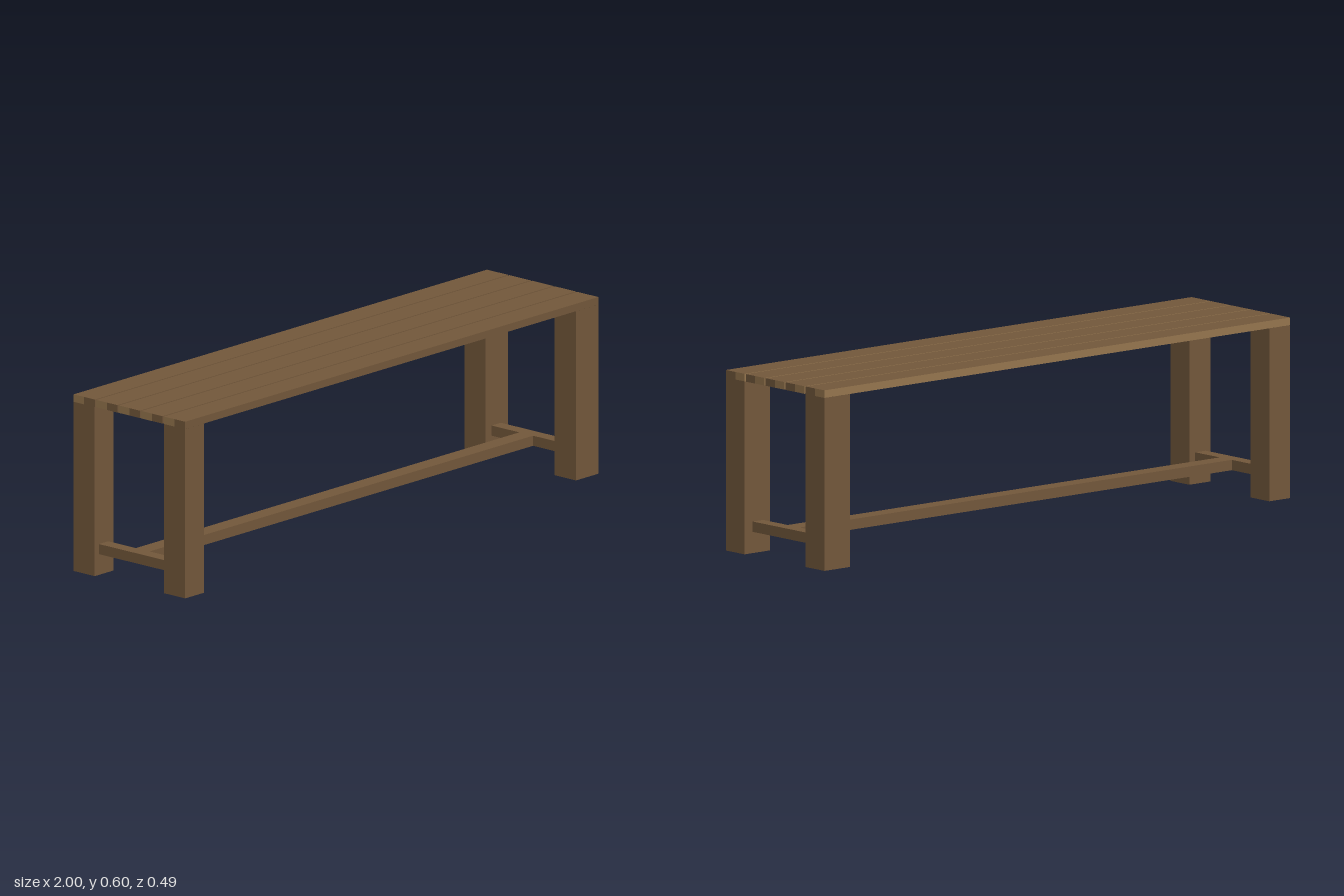
import * as THREE from 'three';

export function createModel() {
  const bench = new THREE.Group();
  bench.name = 'bench';
  const wood = new THREE.MeshStandardMaterial({ color: 0x73583b, side: THREE.DoubleSide });
  wood.name = 'brown wood';
  const paleWood = new THREE.MeshStandardMaterial({ color: 0x96764e, side: THREE.DoubleSide });
  paleWood.name = 'pale wood';

  // Box from its limits on each axis
  const block = (name, [x0, x1], [y0, y1], [z0, z1], material = wood, depthSegments = 1) => {
    const geometry = new THREE.BoxGeometry(x1 - x0, y1 - y0, z1 - z0, 1, 1, depthSegments);
    const mesh = new THREE.Mesh(geometry, material);
    mesh.position.set((x0 + x1) / 2, (y0 + y1) / 2, (z0 + z1) / 2);
    mesh.name = name;
    bench.add(mesh);
    return mesh;
  };

  // Seat planks: pale rear edge and pale rear half of each end
  for (let i = -2; i <= 2; i++) {
    const z = i * 0.0985;
    const plank = block('seatPlank', [-1, 1], [0.57, 0.595], [z - 0.0465, z + 0.0465], [wood, paleWood], 2);
    plank.geometry.clearGroups();
    [[0, 6, 0], [6, 12, 1], [18, 36, 0], [54, 6, 1]].forEach((g) => plank.geometry.addGroup(...g));
  }

  // Hollow legs, open at both ends; the left pair is wider
  for (const [side, xs] of [['left', [0.891, 1]], ['right', [-1, -0.91]]]) {
    for (const [end, zs] of [['Front', [0.151, 0.244]], ['Back', [-0.244, -0.151]]]) {
      const leg = block(`${side}${end}Leg`, xs, [0, 0.57], zs);
      const faces = Array.from(leg.geometry.index.array);
      leg.geometry.clearGroups();
      leg.geometry.setIndex([...faces.slice(0, 12), ...faces.slice(24)]);
    }
  }

  // Low H-shaped stretcher with a pale underside
  const barFaces = [wood, wood, wood, paleWood, wood, wood];
  block('leftCrossbar', [0.92, 0.965], [0.07, 0.104], [-0.151, 0.151], barFaces);
  block('rightCrossbar', [-0.98, -0.935], [0.07, 0.104], [-0.151, 0.151], barFaces);
  block('longStretcher', [-0.935, 0.92], [0.07, 0.104], [-0.03, 0.03], barFaces);

  return bench;
}
